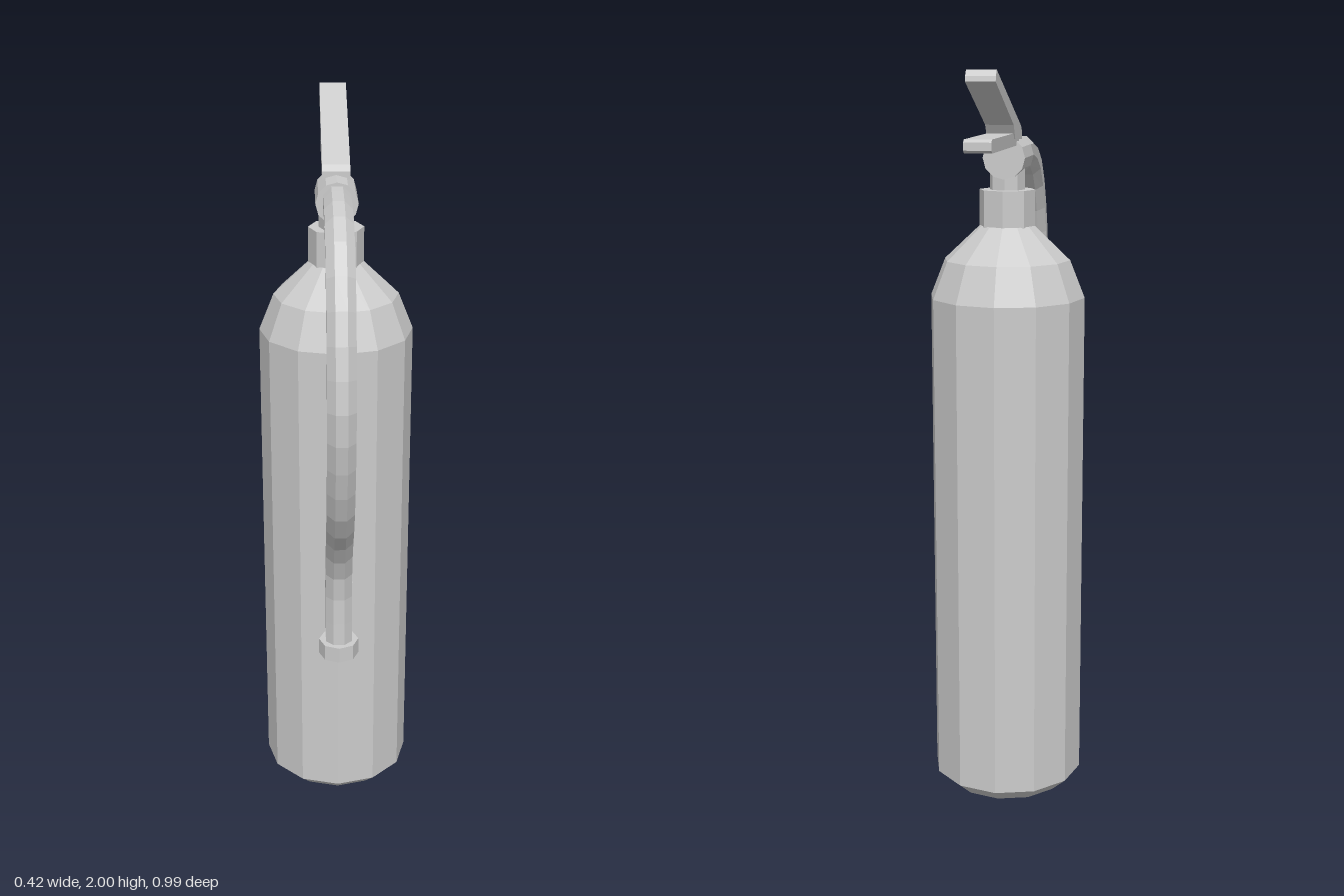
import * as THREE from 'three';

const AXIS_Z = -0.07; // centre line of the cylinder body
const HOSE_Z = 0.205; // centre line of the hanging hose end

export function createModel() {
  const root = new THREE.Group();
  const grey = new THREE.MeshStandardMaterial({ color: 0xcccccc, flatShading: true });

  const add = (name, geometry, x = 0, y = 0, z = 0) => {
    const mesh = new THREE.Mesh(geometry, grey);
    mesh.name = name;
    mesh.position.set(x, y, z);
    root.add(mesh);
    return mesh;
  };
  // Upright prism between two heights
  const post = (name, r, y0, y1, z, sides = 8) =>
    add(name, new THREE.CylinderGeometry(r, r, y1 - y0, sides), 0, (y0 + y1) / 2, z);
  // Side outline of [distance backwards, height], given a width across x
  const sidePlate = (name, outline, width) => {
    const shape = new THREE.Shape(outline.map(([a, b]) => new THREE.Vector2(a, b)));
    const geo = new THREE.ExtrudeGeometry(shape, { depth: width, bevelEnabled: false });
    geo.translate(0, 0, -width / 2).rotateY(Math.PI / 2);
    return add(name, geo);
  };

  // Tank: chamfered foot, straight wall, faceted shoulder
  const profile = [[0, 0], [0.165, 0], [0.21, 0.04], [0.21, 1.405], [0.17, 1.505], [0.074, 1.595], [0, 1.595]];
  add('tank', new THREE.LatheGeometry(profile.map(([r, y]) => new THREE.Vector2(r, y)), 12), 0, 0, AXIS_Z);

  // Collar, stem and valve
  post('collar', 0.075, 1.59, 1.69, AXIS_Z);
  post('valveStem', 0.047, 1.68, 1.76, AXIS_Z);
  const valve = add('valveBody', new THREE.CylinderGeometry(0.056, 0.056, 0.15, 12), 0, 1.775, -0.05);
  valve.rotation.x = Math.PI / 2;

  // Handles
  sidePlate('carryHandle', [
    [0.09, 1.807], [0.485, 1.807], [0.496, 1.814], [0.496, 1.833], [0.487, 1.84], [0.09, 1.84],
  ], 0.068);
  sidePlate('squeezeLever', [
    [0.055, 1.82], [0.165, 1.825], [0.19, 1.862], [0.452, 1.972], [0.45, 1.985], [0.437, 2.0],
    [0.07, 1.855], [0.055, 1.84],
  ], 0.074);

  // Hose: octagonal section swept along a bow in front of the tank
  const bow = [
    [0.0, 1.785], [0.16, 1.782], [0.25, 1.762], [0.335, 1.708], [0.41, 1.58], [0.45, 1.43], [0.455, 1.33],
    [0.43, 1.2], [0.37, 1.05], [0.27, 0.92], [0.222, 0.83], [HOSE_Z, 0.75], [HOSE_Z, 0.57],
  ];
  const path = new THREE.CatmullRomCurve3(bow.map(([z, y]) => new THREE.Vector3(0, y, z)));
  const section = new THREE.Shape();
  for (let i = 0; i < 8; i++) {
    const a = (i + 0.5) * Math.PI / 4;
    const p = [0.039 * Math.cos(a), 0.039 * Math.sin(a)];
    if (i) section.lineTo(...p); else section.moveTo(...p);
  }
  add('hose', new THREE.ExtrudeGeometry(section, { steps: 20, extrudePath: path, bevelEnabled: false }));

  // Nozzle nut and the clip that holds the hose to the tank
  post('nozzle', 0.055, 0.54, 0.585, HOSE_Z);
  add('hoseClip', new THREE.BoxGeometry(0.074, 0.17, 0.09), 0, 0.682, 0.17);

  return root;
}
